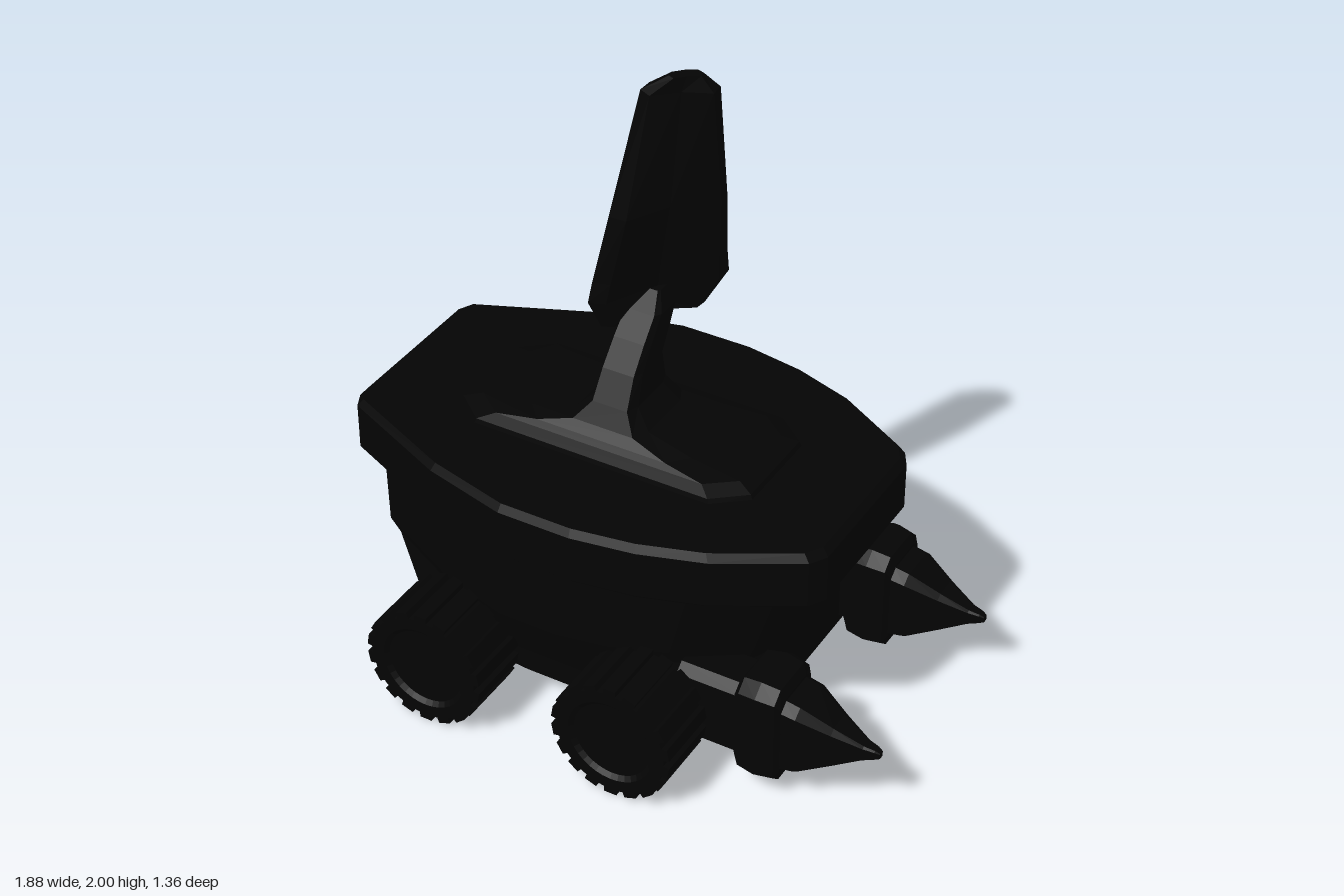
import * as THREE from 'three';

const dark = new THREE.MeshStandardMaterial({ color: 0x040404, flatShading: true });
const brown = new THREE.MeshStandardMaterial({ color: 0x6b3f1c });

// Half outlines in unit coordinates, running from +x round through +z to -x
const BOAT = [[1, 0.46], [0.96, 0.56], [0.65, 0.82], [0.4, 0.94], [0.15, 1], [-0.15, 1],
  [-0.5, 0.87], [-0.97, 0.57], [-1, 0.48]];
const SLAB = [[1, 0.85], [0.96, 0.95], [0.65, 1], [0.4, 1], [0.15, 1], [-0.15, 1],
  [-0.46, 1], [-0.95, 0.95], [-1, 0.85]];
const OCTAGON = [[1, 0.65], [0.8, 1], [-0.8, 1], [-1, 0.65]];

// One horizontal cross-section filling x0..x1 and z0..z1 at height y
function ring(half, y, x0, x1, z0, z1) {
  const full = [...half, ...half.map(([x, z]) => [x, -z]).reverse()];
  return full.map(([x, z]) => [
    (x0 + x1) / 2 + x * (x1 - x0) / 2, y, (z0 + z1) / 2 + z * (z1 - z0) / 2]);
}

// Skin a stack of equal-length cross-sections and cap both ends
function loft(rings) {
  const pos = [];
  const tri = (a, b, c) => pos.push(...a, ...b, ...c);
  const n = rings[0].length;
  const centre = (r) => [0, 1, 2].map((k) => r.reduce((s, p) => s + p[k], 0) / n);
  const low = centre(rings[0]);
  const top = rings[rings.length - 1];
  const high = centre(top);
  for (let i = 0; i < n; i++) {
    const j = (i + 1) % n;
    for (let r = 0; r + 1 < rings.length; r++) {
      const a = rings[r], b = rings[r + 1];
      tri(a[i], b[i], a[j]);
      tri(a[j], b[i], b[j]);
    }
    tri(low, rings[0][i], rings[0][j]);
    tri(high, top[j], top[i]);
  }
  const g = new THREE.BufferGeometry();
  g.setAttribute('position', new THREE.Float32BufferAttribute(pos, 3));
  g.computeVertexNormals();
  return g;
}

function add(parent, name, geometry, material = dark) {
  const mesh = new THREE.Mesh(geometry, material);
  mesh.name = name;
  parent.add(mesh);
  return mesh;
}

const stack = (half, rows) => loft(rows.map((row) => ring(half, ...row)));

// Wheel with shallow dished faces and raised tread bars, axis along z
function makeWheel(x, z) {
  const wheel = new THREE.Group();
  wheel.name = 'wheel';
  const profile = [[0, -0.1], [0.13, -0.1], [0.145, -0.112], [0.185, -0.112],
    [0.185, 0.112], [0.145, 0.112], [0.13, 0.1], [0, 0.1]];
  const body = new THREE.LatheGeometry(profile.map((p) => new THREE.Vector2(...p)), 36);
  add(wheel, 'tyre', body.rotateX(Math.PI / 2));
  const bars = 18;
  for (let i = 0; i < bars; i++) {
    const bar = new THREE.BoxGeometry(0.042, 0.036, 0.224).translate(0, 0.185, 0);
    add(wheel, 'treadBar', bar.rotateZ(i * 2 * Math.PI / bars));
  }
  wheel.position.set(x, 0.206, z);
  return wheel;
}

// Spike ram pointing along +x: arm, square collar and curved spike
function makeRam(z) {
  const ram = new THREE.Group();
  ram.name = 'ram';
  const lay = (rows) => stack(OCTAGON, rows.map(([x, y0, y1, w]) => [x, -y1, -y0, -w, w]))
    .rotateZ(-Math.PI / 2);
  add(ram, 'arm', lay([[0.3, 0.1, 0.37, 0.09], [0.54, 0.1, 0.37, 0.09]]));
  add(ram, 'collar', lay([[0.5, 0.1, 0.38, 0.095], [0.52, 0.06, 0.41, 0.11],
    [0.58, 0.055, 0.42, 0.12], [0.64, 0.06, 0.41, 0.11], [0.655, 0.09, 0.38, 0.095]]));
  add(ram, 'spike', lay([[0.65, 0.1, 0.37, 0.095], [0.7, 0.11, 0.36, 0.092],
    [0.8, 0.16, 0.305, 0.055], [0.89, 0.208, 0.262, 0.024], [0.925, 0.222, 0.255, 0.016],
    [0.94, 0.228, 0.248, 0.01]]));
  ram.position.z = z;
  return ram;
}

// Folded upright blade, notched below and twisting towards its tip, hollow side facing +x +z
function makeBlade() {
  const rows = [ // y, centre x, centre z, half width, half thickness, fold depth, angle, notch
    [1.15, -0.12, -0.135, 0.17, 0.02, 0.03, 0.93, 0.05],
    [1.25, -0.105, -0.145, 0.23, 0.03, 0.035, 0.93, 0],
    [1.32, -0.1, -0.145, 0.22, 0.035, 0.035, 0.93, 0],
    [1.55, -0.07, -0.14, 0.187, 0.045, 0.03, 0.9, 0],
    [1.95, -0.03, -0.14, 0.115, 0.04, 0.015, 0.6, 0],
    [2.0, -0.012, -0.14, 0.05, 0.02, 0.005, 0.7, 0],
  ];
  return loft(rows.map(([y, cx, cz, w, t, f, angle, notch]) => {
    const c = Math.cos(angle), s = Math.sin(angle);
    return [[1, 0], [0.8, t], [0, t - f], [-0.8, t], [-1, 0], [-0.75, -t], [0, -t - f], [0.75, -t]]
      .map(([a, d]) => [cx + c * a * w + s * d, a === 0 ? y + notch : y, cz - s * a * w + c * d]);
  }));
}

export function createModel() {
  const model = new THREE.Group();
  model.name = 'vehicle';

  // Hull blending from a boxy underside to the boat outline, and the overhanging deck
  add(model, 'hull', loft([
    ring(SLAB, 0.1, -0.52, 0.48, -0.42, 0.42), ring(SLAB, 0.2, -0.65, 0.48, -0.44, 0.44),
    ring(BOAT, 0.34, -0.82, 0.48, -0.51, 0.51), ring(BOAT, 0.39, -0.85, 0.5, -0.525, 0.525),
    ring(BOAT, 0.64, -0.855, 0.58, -0.53, 0.53)]));
  add(model, 'deck', stack(BOAT, [
    [0.63, -0.92, 0.67, -0.535, 0.535], [0.65, -0.94, 0.69, -0.555, 0.555],
    [0.805, -0.94, 0.69, -0.555, 0.555], [0.83, -0.92, 0.67, -0.54, 0.54]]));
  add(model, 'frontPanel', new THREE.BoxGeometry(0.03, 0.13, 0.27)
    .rotateZ(-0.31).translate(0.548, 0.565, 0));

  // Raised plate sweeping up into the leaning neck
  add(model, 'plateAndNeck', stack(OCTAGON, [
    [0.82, -0.64, 0.39, -0.24, 0.24], [0.845, -0.63, 0.38, -0.235, 0.235],
    [0.862, -0.57, 0.33, -0.2, 0.2], [0.875, -0.4, 0.16, -0.175, 0.18],
    [0.9, -0.26, 0.0, -0.145, 0.15], [0.96, -0.2, -0.05, -0.115, 0.115],
    [1.05, -0.195, -0.06, -0.11, 0.06], [1.13, -0.19, -0.06, -0.155, 0.0],
    [1.2, -0.185, -0.06, -0.19, -0.06], [1.25, -0.14, -0.09, -0.18, -0.12]]));
  add(model, 'blade', makeBlade());

  // Axle housings with brown end collars, wheels and rams
  const rod = (x, radius, length) => new THREE.CylinderGeometry(radius, radius, length, 20)
    .rotateX(Math.PI / 2).translate(x, 0.206, 0);
  for (const x of [-0.46, 0.205]) {
    add(model, 'axleHousing', rod(x, 0.146, 0.88));
    add(model, 'axleCollar', rod(x, 0.135, 0.96), brown);
    for (const side of [-1, 1]) model.add(makeWheel(x, side * 0.57));
  }
  for (const side of [-1, 1]) model.add(makeRam(side * 0.36));
  return model;
}
